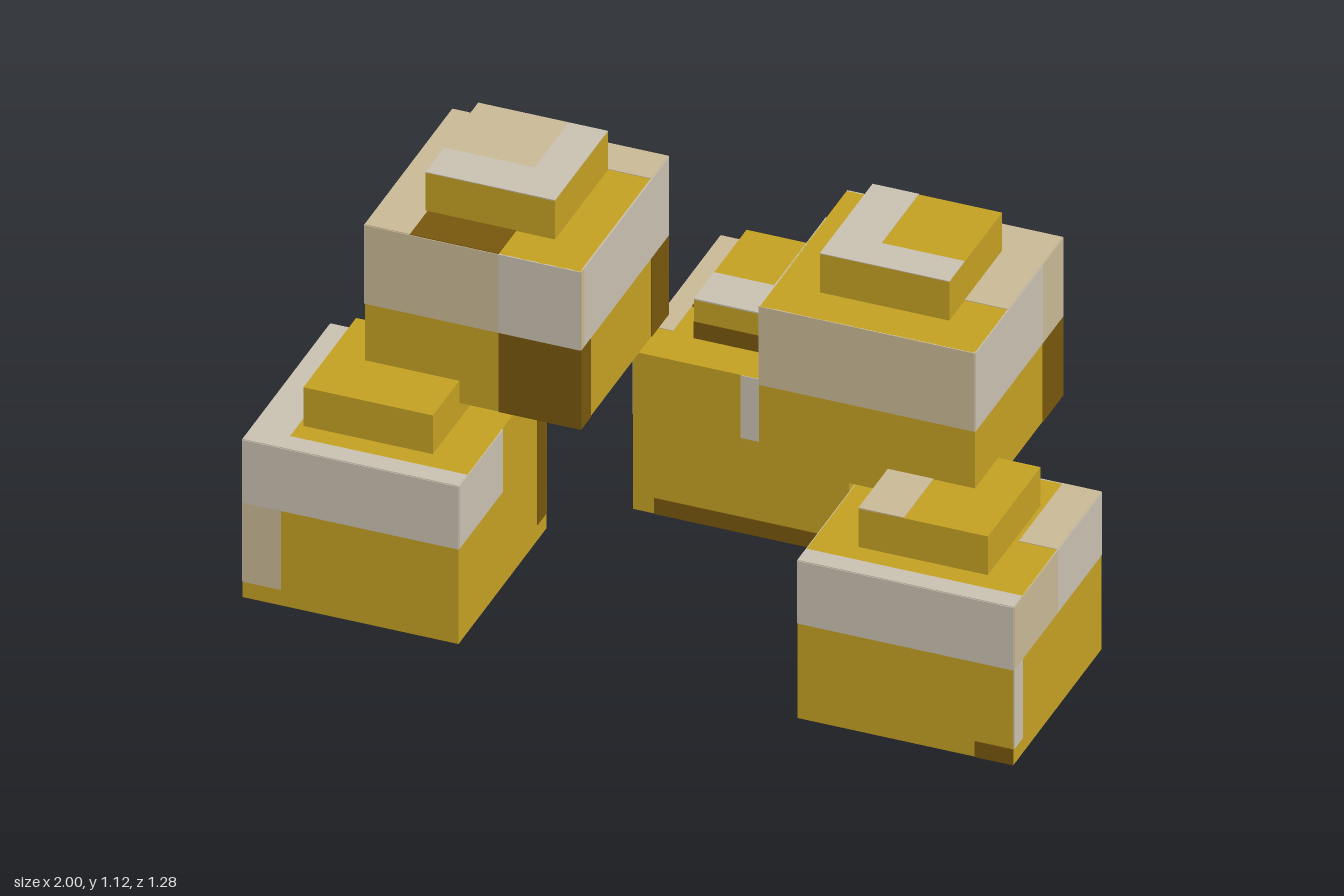
import * as THREE from 'three';

const mat = (name, color) => {
  const m = new THREE.MeshStandardMaterial({ color });
  m.name = name;
  return m;
};

export function createModel() {
  const gold = mat('gold', 0xc4a123);
  const tan = mat('tan', 0xc9b996);
  const grey = mat('warmGrey', 0xc9c1b1);
  const brown = mat('brown', 0x77570d);
  const dark = mat('darkBrown', 0x4a3410);
  const model = new THREE.Group();
  model.name = 'blockCluster';

  // Box from min/max corners; material may be a six-face array
  const box = (parent, name, material, [x0, x1], [y0, y1], [z0, z1]) => {
    const mesh = new THREE.Mesh(new THREE.BoxGeometry(x1 - x0, y1 - y0, z1 - z0), material);
    mesh.position.set((x0 + x1) / 2, (y0 + y1) / 2, (z0 + z1) / 2);
    mesh.name = name;
    parent.add(mesh);
  };

  // Body, raised cap and narrow foot, centred on (cx, cz) and standing on y
  const block = (name, cx, y, cz, footFront) => {
    const g = new THREE.Group();
    g.name = name;
    model.add(g);
    const span = (c, h) => [c - h, c + h];
    const X = span(cx, 0.28), Z = span(cz, 0.28), Y = [y + 0.06, y + 0.508];
    const CX = span(cx, 0.168), CZ = span(cz, 0.168), CY = [y + 0.508, y + 0.618];
    box(g, 'body', [gold, gold, gold, brown, gold, gold], X, Y, Z);
    box(g, 'cap', gold, CX, CY, CZ);
    box(g, 'foot', [brown, brown, brown, brown, footFront, brown],
      span(cx, 0.223), [y, y + 0.06], span(cz, 0.056));
    // Thin painted patches: side, colour, horizontal range(s), remaining range
    const t = 0.002;
    const at = (v) => [v - t, v + t];
    return (side, m, a0, a1, b0, b1) => {
      const a = [a0, a1], b = [b0, b1];
      if (side === 'front') box(g, 'frontPatch', m, a, b, at(Z[1]));
      if (side === 'back') box(g, 'backPatch', m, a, b, at(Z[0]));
      if (side === 'left') box(g, 'leftPatch', m, at(X[1]), b, a);
      if (side === 'right') box(g, 'rightPatch', m, at(X[0]), b, a);
      if (side === 'top') box(g, 'topPatch', m, a, at(Y[1]), b);
      if (side === 'cap') box(g, 'capPatch', m, a, at(CY[1]), b);
      if (side === 'capFront') box(g, 'capFrontPatch', m, a, b, at(CZ[1]));
    };
  };

  // Lower block on the model's right
  let p = block('lowerRightBlock', -0.72, 0, 0.36, brown);
  p('front', grey, -1, -0.44, 0.33, 0.508);
  p('front', tan, -1, -0.9, 0.105, 0.33);
  p('left', grey, 0.36, 0.64, 0.33, 0.508);
  p('left', brown, 0.08, 0.14, 0.105, 0.508);
  p('right', grey, 0.08, 0.64, 0.33, 0.508);
  p('right', grey, 0.585, 0.64, 0.105, 0.33);
  p('right', brown, 0.08, 0.18, 0.06, 0.1);
  p('back', grey, -1, -0.9, 0.33, 0.508);
  p('back', brown, -0.66, -0.44, 0.06, 0.1);
  p('top', grey, -1, -0.9, 0.08, 0.585);
  p('top', grey, -1, -0.44, 0.585, 0.64);

  // Lower block on the model's left
  p = block('lowerLeftBlock', 0.72, 0, 0.36, brown);
  p('front', grey, 0.44, 1, 0.33, 0.508);
  p('front', brown, 0.9, 1, 0.06, 0.105);
  p('left', tan, 0.36, 0.64, 0.33, 0.508);
  p('left', grey, 0.08, 0.36, 0.33, 0.508);
  p('left', grey, 0.585, 0.64, 0.105, 0.33);
  p('right', grey, 0.08, 0.64, 0.33, 0.508);
  p('back', grey, 0.67, 0.9, 0.105, 0.508);
  p('top', grey, 0.44, 1, 0.585, 0.64);
  p('top', tan, 0.9, 1, 0.08, 0.36);
  p('cap', tan, 0.552, 0.67, 0.192, 0.528);

  // Lower block at the rear
  p = block('lowerRearBlock', 0, 0, -0.36, dark);
  p('front', grey, 0, 0.22, 0.33, 0.508);
  p('front', brown, -0.225, 0.28, 0.06, 0.105);
  p('capFront', brown, -0.168, 0.168, 0.508, 0.555);
  p('left', tan, -0.64, -0.08, 0.33, 0.508);
  p('left', brown, -0.64, -0.54, 0.06, 0.1);
  p('right', grey, -0.64, -0.08, 0.33, 0.508);
  p('right', brown, -0.64, -0.4, 0.06, 0.09);
  p('back', grey, -0.28, 0.28, 0.33, 0.508);
  p('back', grey, -0.28, -0.22, 0.105, 0.33);
  p('back', brown, 0.2, 0.28, 0.06, 0.1);
  p('top', tan, -0.28, 0.28, -0.64, -0.54);
  p('top', tan, -0.28, -0.225, -0.54, -0.2);
  p('top', tan, 0.22, 0.28, -0.54, -0.32);
  p('top', brown, -0.225, -0.168, -0.54, -0.32);
  p('cap', grey, -0.168, 0.168, -0.32, -0.192);

  // Raised block on the model's right
  p = block('upperRightBlock', -0.517, 0.495, 0.08, dark);
  p('front', tan, -0.797, -0.45, 0.78, 1.003);
  p('front', grey, -0.45, -0.237, 0.78, 1.003);
  p('front', brown, -0.45, -0.237, 0.555, 0.78);
  p('left', grey, -0.2, 0.34, 0.78, 1.003);
  p('left', tan, 0.34, 0.36, 0.78, 1.003);
  p('left', brown, 0.3, 0.36, 0.555, 0.78);
  p('left', brown, -0.2, -0.09, 0.555, 0.78);
  p('right', grey, -0.2, 0.36, 0.78, 1.003);
  p('right', brown, -0.2, -0.07, 0.555, 0.78);
  p('back', tan, -0.797, -0.237, 0.78, 1.003);
  p('back', brown, -0.45, -0.237, 0.555, 0.78);
  p('top', tan, -0.797, -0.237, -0.2, -0.09);
  p('top', tan, -0.797, -0.68, -0.09, 0.36);
  p('top', brown, -0.68, -0.45, 0.24, 0.36);
  p('cap', tan, -0.685, -0.45, -0.088, 0.13);
  p('cap', grey, -0.45, -0.349, -0.088, 0.13);
  p('cap', grey, -0.685, -0.349, 0.13, 0.248);

  // Raised block on the model's left
  p = block('upperLeftBlock', 0.498, 0.495, 0.06, dark);
  p('front', tan, 0.218, 0.778, 0.78, 1.003);
  p('left', grey, -0.09, 0.34, 0.78, 1.003);
  p('left', tan, -0.22, -0.09, 0.78, 1.003);
  p('left', brown, -0.22, -0.09, 0.555, 0.78);
  p('right', grey, -0.09, 0.34, 0.78, 1.003);
  p('back', grey, 0.218, 0.778, 0.78, 1.003);
  p('back', brown, 0.68, 0.778, 0.555, 0.78);
  p('top', tan, 0.45, 0.778, -0.22, -0.09);
  p('top', tan, 0.666, 0.778, -0.09, 0.13);
  p('cap', grey, 0.33, 0.45, -0.108, 0.228);
  p('cap', grey, 0.45, 0.666, 0.13, 0.228);

  return model;
}
